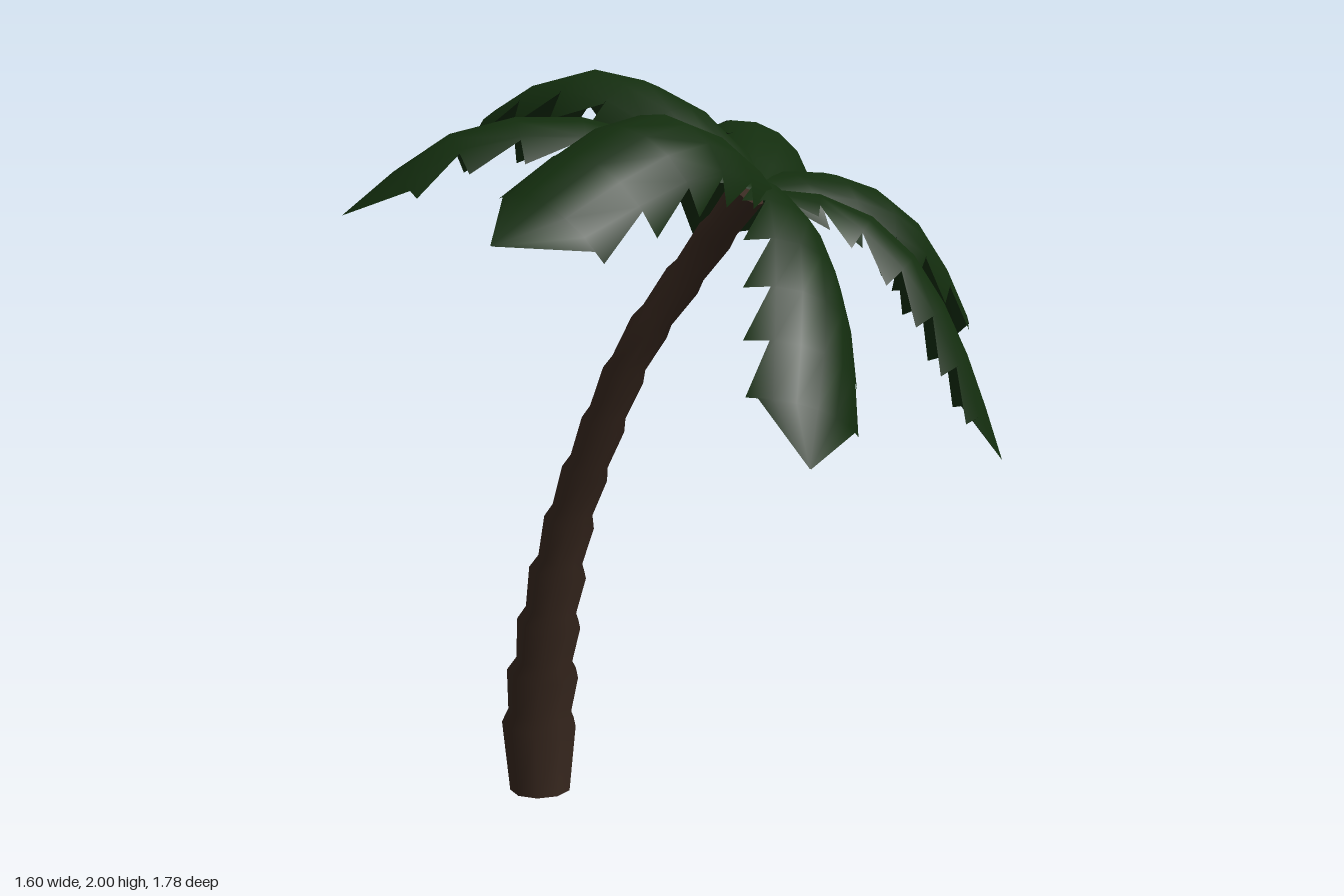
import * as THREE from 'three';

const V = (p) => new THREE.Vector3(...p);
const bark = new THREE.MeshStandardMaterial({ color: 0x37271e });
const green = new THREE.MeshStandardMaterial({ color: 0x132d0e, side: THREE.DoubleSide });

// Leaning trunk: a cylinder whose rows follow a curve, alternating wide rims and notches
const RIMS = [0.106, 0.102, 0.09, 0.081, 0.071, 0.065, 0.061, 0.058, 0.055, 0.053, 0.051, 0.05];
function createTrunk() {
  const path = new THREE.CatmullRomCurve3([
    [-0.42, 0, -0.35], [-0.42, 0.2, -0.35], [-0.385, 0.5, -0.32], [-0.32, 0.8, -0.28],
    [-0.25, 1, -0.235], [-0.13, 1.28, -0.165], [0.02, 1.5, -0.095], [0.16, 1.69, -0.01],
  ].map(V));
  const count = RIMS.length, rows = count * 2 - 1;
  const geo = new THREE.CylinderGeometry(1, 1, 1, 9, rows);
  const pos = geo.attributes.position, nor = geo.attributes.normal;
  for (let i = 0; i < pos.count; i++) {
    const row = Math.round((pos.getY(i) + 0.5) * rows);
    const seg = Math.floor(row / 2), rim = row % 2 === 1;
    const u = row === 0 ? 0 : (seg + (rim ? 1.3 : 0.55)) / (count + 0.3);
    const r = RIMS[seg] * (rim ? 1 : row === 0 ? 0.81 : 0.88);
    const t = path.getTangentAt(u);
    const side = new THREE.Vector3(1, 0, 0).addScaledVector(t, -t.x).normalize();
    const front = side.clone().cross(t);
    const p = path.getPointAt(u).addScaledVector(side, pos.getX(i) * r)
      .addScaledVector(front, pos.getZ(i) * r);
    const n = side.multiplyScalar(nor.getX(i)).addScaledVector(t, nor.getY(i))
      .addScaledVector(front, nor.getZ(i));
    pos.setXYZ(i, p.x, p.y, p.z);
    nor.setXYZ(i, n.x, n.y, n.z);
  }
  const trunk = new THREE.Mesh(geo, bark);
  trunk.name = 'trunk';
  return trunk;
}

// Half width of a frond along its length
const WIDTHS = [0.05, 0.145, 0.19, 0.205, 0.205, 0.195, 0.17, 0.11];
function halfWidth(u) {
  const f = Math.min(u, 0.999) * (WIDTHS.length - 1), i = Math.floor(f);
  return THREE.MathUtils.lerp(WIDTHS[i], WIDTHS[i + 1], f - i);
}

// Arched frond with a curved cross-section; only the outermost columns form the teeth
function createFrond(points, roll, width) {
  const rib = new THREE.CatmullRomCurve3(points.map(V));
  const teeth = 7, bend = 5, inner = 0.68;
  const positions = [], normals = [], index = [];

  const addRing = (u, w, edge) => {
    const columns = [-edge, -inner, -inner / 2, 0, inner / 2, inner, edge];
    const p = rib.getPointAt(u), t = rib.getTangentAt(u);
    const side0 = t.clone().cross(new THREE.Vector3(0, 1, 0)).normalize();
    const up0 = side0.clone().cross(t);
    const side = side0.clone().multiplyScalar(Math.cos(roll)).addScaledVector(up0, -Math.sin(roll));
    const up = up0.clone().multiplyScalar(Math.cos(roll)).addScaledVector(side0, Math.sin(roll));
    for (const c of columns) {
      const a = c * w * bend;
      const q = p.clone().addScaledVector(side, Math.sin(a) / bend)
        .addScaledVector(up, (Math.cos(a) - 1) / bend);
      const n = side.clone().multiplyScalar(Math.sin(a)).addScaledVector(up, Math.cos(a));
      positions.push(q.x, q.y, q.z);
      normals.push(n.x, n.y, n.z);
    }
    return columns.length;
  };

  for (let i = 0; i < teeth; i++) {
    const u0 = i / teeth, u1 = (i + 1) / teeth, last = i === teeth - 1;
    const start = positions.length / 3;
    const n = addRing(u0, halfWidth(u0) * width, last ? 0.9 : 0.74);
    addRing(u1, last ? 0.002 : halfWidth(u1) * width, 1.08);
    for (let j = 0; j < n - 1; j++) {
      const a = start + j, b = a + 1, c = a + n, d = c + 1;
      index.push(a, b, d, a, d, c);
    }
  }
  const geo = new THREE.BufferGeometry();
  geo.setAttribute('position', new THREE.Float32BufferAttribute(positions, 3));
  geo.setAttribute('normal', new THREE.Float32BufferAttribute(normals, 3));
  geo.setIndex(index);
  const frond = new THREE.Mesh(geo, green);
  frond.name = 'frond';
  return frond;
}

// Midrib points after the crown centre, sideways roll and relative width of each frond
const CROWN = [0.2, 1.7, 0.08];
const FRONDS = [
  { roll: 0.6, width: 1, rib: [[0.24, 1.79, -0.18], [0.24, 1.84, -0.44], [0.17, 1.78, -0.67], [0, 1.54, -0.89]] },
  { roll: 0, width: 1.1, rib: [[0, 1.91, -0.1], [-0.22, 2, -0.24], [-0.42, 1.95, -0.38], [-0.59, 1.82, -0.52]] },
  { roll: 0, width: 1, rib: [[-0.02, 1.81, 0.13], [-0.28, 1.875, 0.18], [-0.55, 1.83, 0.23], [-0.8, 1.64, 0.28]] },
  { roll: -0.5, width: 1, rib: [[0.13, 1.8, 0.29], [0.02, 1.85, 0.5], [-0.13, 1.78, 0.69], [-0.36, 1.6, 0.89]] },
  { roll: -0.75, width: 0.9, rib: [[0.28, 1.67, 0.25], [0.33, 1.56, 0.43], [0.335, 1.38, 0.6], [0.3, 1.12, 0.76]] },
  { roll: 0, width: 0.93, rib: [[0.4, 1.67, 0.08], [0.57, 1.54, 0.09], [0.7, 1.31, 0.09], [0.8, 1.03, 0.09]] },
  { roll: 0.55, width: 0.93, rib: [[0.4, 1.71, -0.06], [0.57, 1.64, -0.18], [0.67, 1.5, -0.29], [0.73, 1.29, -0.42]] },
];

export function createModel() {
  const model = new THREE.Group();
  model.name = 'palmTree';
  const crown = new THREE.Group();
  crown.name = 'crown';
  for (const { rib, roll, width } of FRONDS) crown.add(createFrond([CROWN, ...rib], roll, width));
  model.add(createTrunk(), crown);
  return model;
}
